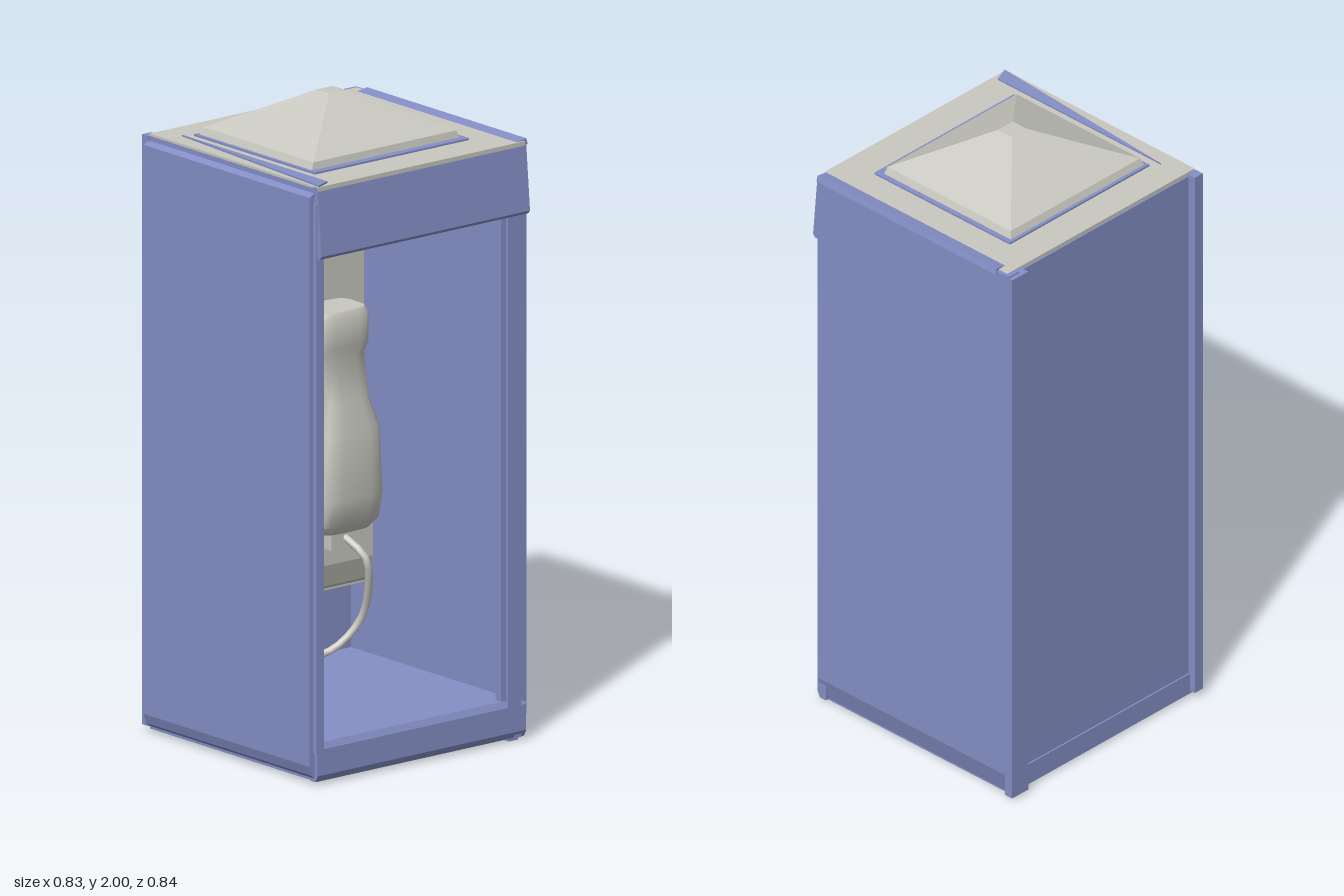
import * as THREE from 'three';
import { toCreasedNormals } from 'three/addons/utils/BufferGeometryUtils.js';

const blue = new THREE.MeshStandardMaterial({ color: 0x858fc6 });
blue.name = 'boothBlue';
const grey = new THREE.MeshStandardMaterial({ color: 0xc8c8c0 });
grey.name = 'paleGrey';

export function createModel() {
  const model = new THREE.Group();
  model.name = 'phoneBooth';

  const add = (name, geo, mat) => {
    const m = new THREE.Mesh(geo, mat);
    m.name = name;
    model.add(m);
    return m;
  };
  // Box given by its limits on each axis
  const box = (name, mat, x0, x1, y0, y1, z0, z1) => {
    const g = new THREE.BoxGeometry(x1 - x0, y1 - y0, z1 - z0);
    g.translate((x0 + x1) / 2, (y0 + y1) / 2, (z0 + z1) / 2);
    return add(name, g, mat);
  };
  // Profile in x,y extruded along z
  const prismZ = (name, mat, pts, z0, z1) => {
    const s = new THREE.Shape(pts.map(p => new THREE.Vector2(...p)));
    const g = new THREE.ExtrudeGeometry(s, { depth: z1 - z0, bevelEnabled: false });
    g.translate(0, 0, z0);
    return add(name, g, mat);
  };
  // Profile in z,y extruded along x
  const prismX = (name, mat, pts, x0, x1) => {
    const s = new THREE.Shape(pts.map(([z, y]) => new THREE.Vector2(-z, y)));
    const g = new THREE.ExtrudeGeometry(s, { depth: x1 - x0, bevelEnabled: false });
    g.rotateY(Math.PI / 2).translate(x0, 0, 0);
    return add(name, g, mat);
  };
  // Stacked cross-sections [y, x0, x1, z0, z1]; power 0 gives square corners
  const loft = (sections, n, power, crease) => {
    const pos = [], idx = [];
    const f = v => Math.sign(v) * Math.pow(Math.abs(v), power);
    for (const [y, x0, x1, z0, z1] of sections) {
      for (let j = 0; j < n; j++) {
        const t = (j + 0.5) / n * Math.PI * 2;
        pos.push((x0 + x1) / 2 + f(Math.cos(t)) * (x1 - x0) / 2, y,
          (z0 + z1) / 2 + f(Math.sin(t)) * (z1 - z0) / 2);
      }
    }
    for (let i = 0; i < sections.length - 1; i++) {
      for (let j = 0; j < n; j++) {
        const a = i * n + j, b = i * n + (j + 1) % n;
        idx.push(a, a + n, b, b, a + n, b + n);
      }
    }
    const top = (sections.length - 1) * n;
    for (let j = 1; j < n - 1; j++) {
      idx.push(0, j, j + 1, top, top + j + 1, top + j);
    }
    const g = new THREE.BufferGeometry();
    g.setAttribute('position', new THREE.Float32BufferAttribute(pos, 3));
    g.setIndex(idx);
    return toCreasedNormals(g, crease);
  };

  // Front and back walls
  box('frontWall', blue, -0.4, 0.39, 0.02, 1.845, 0.375, 0.4);
  prismX('frontPanel', blue, [[0.4, 0.02], [0.41, 0.03], [0.42, 0.06], [0.42, 1.82], [0.4, 1.83]], -0.39, 0.38);
  prismX('backWall', blue, [[-0.37, 0.01], [-0.395, 0.01], [-0.415, 0.08], [-0.415, 1.85], [-0.37, 1.85]], -0.4, 0.39);

  // Closed side: recessed wall between posts
  box('phoneWall', blue, -0.39, -0.37, 0.02, 1.84, -0.4, 0.39);
  box('sidePostBack', blue, -0.415, -0.385, 0.01, 1.845, -0.415, -0.345);
  box('sidePostFront', blue, -0.415, -0.385, 0.02, 1.845, 0.37, 0.405);

  // Open side: jamb, header and sill
  box('doorJamb', blue, 0.36, 0.385, 0.1, 1.8, -0.38, -0.32);
  box('doorJambStop', blue, 0.385, 0.395, 0.1, 1.7, -0.39, -0.34);
  box('doorJambFront', blue, 0.37, 0.395, 0.1, 1.8, 0.375, 0.405);
  prismZ('doorHeader', blue, [[0.375, 1.85], [0.395, 1.85], [0.413, 1.64], [0.405, 1.63], [0.385, 1.63]], -0.41, 0.4);
  prismZ('doorSill', blue, [[0.36, 0.13], [0.385, 0.13], [0.395, 0.11], [0.395, 0.03], [0.385, 0.01], [0.36, 0.01]], -0.41, 0.4);

  // Floor with a rim below it
  box('floor', blue, -0.39, 0.37, 0.07, 0.13, -0.38, 0.38);
  box('floorRimSide', blue, -0.395, -0.36, 0.01, 0.08, -0.39, 0.39);
  box('floorRimFront', blue, -0.39, 0.38, 0.01, 0.08, 0.355, 0.395);
  box('floorRimBack', blue, -0.39, 0.38, 0, 0.08, -0.39, -0.355);

  // Roof, curb, edge trims and skylight
  box('roof', grey, -0.386, 0.396, 1.82, 1.852, -0.405, 0.4);
  box('skylightCurb', blue, -0.28, 0.28, 1.85, 1.858, -0.285, 0.315);
  prismX('roofTrimBack', blue, [[-0.365, 1.85], [-0.415, 1.858], [-0.42, 1.84], [-0.37, 1.84]], -0.35, 0.39);
  const wedge = new THREE.ExtrudeGeometry(new THREE.Shape([
    new THREE.Vector2(-0.3, -0.345), new THREE.Vector2(0.395, -0.395), new THREE.Vector2(0.375, -0.345),
  ]), { depth: 0.006, bevelEnabled: false });
  wedge.rotateX(-Math.PI / 2).translate(0, 1.851, 0);
  add('roofTrimFront', wedge, blue);
  add('skylight', loft([
    [1.856, -0.27, 0.255, -0.27, 0.305],
    [1.88, -0.26, 0.25, -0.26, 0.295],
    [2.0, -0.035, 0.025, -0.02, 0.045],
  ], 4, 0, 0.3), grey);

  // Telephone housing
  prismX('phoneHousing', grey, [[0.28, 0.41], [0.28, 1.47], [-0.22, 1.47], [-0.22, 0.41]], -0.37, -0.13);
  prismZ('housingLowerBulge', grey, [[-0.14, 0.41], [-0.11, 0.43], [-0.09, 0.5], [-0.09, 0.66], [-0.14, 0.7]], -0.22, 0.28);
  box('coinBox', grey, -0.13, -0.05, 0.46, 0.7, 0.075, 0.205);
  for (const z of [0.225, 0.25]) box('housingRib', grey, -0.13, -0.06, 0.45, 0.7, z, z + 0.015);
  box('housingStrip', grey, -0.135, -0.115, 0.7, 1.31, 0.232, 0.24);
  box('handsetCradle', grey, -0.13, 0, 0.74, 1.3, -0.04, 0.09);

  // Keypad
  for (let r = 0; r < 4; r++) {
    for (let c = 0; c < 3; c++) {
      const y = 0.855 + r * 0.043, z = -0.165 + c * 0.038;
      box('key', grey, -0.131, -0.1, y, y + 0.033, z, z + 0.03);
    }
  }

  // Handset
  add('handset', loft([
    [0.65, -0.02, 0.08, -0.08, 0.1],
    [0.68, -0.04, 0.105, -0.105, 0.13],
    [0.76, -0.04, 0.12, -0.11, 0.135],
    [0.97, -0.03, 0.12, -0.095, 0.12],
    [1.06, -0.02, 0.1, -0.065, 0.1],
    [1.2, -0.02, 0.09, -0.055, 0.12],
    [1.23, -0.05, 0.1, -0.07, 0.138],
    [1.32, -0.05, 0.1, -0.07, 0.138],
    [1.34, -0.04, 0.09, -0.06, 0.13],
  ], 16, 0.5, 0.7), grey);

  // Cord and its connector
  box('cordConnector', grey, 0.0, 0.07, 0.6, 0.67, -0.01, 0.075);
  const path = new THREE.CatmullRomCurve3([
    [0.05, 0.64, 0.02], [0.14, 0.58, 0], [0.13, 0.5, -0.02], [0.08, 0.37, -0.028], [0.04, 0.28, 0.06],
    [0, 0.28, 0.19], [-0.03, 0.36, 0.32], [-0.06, 0.5, 0.36], [-0.08, 0.64, 0.335], [-0.1, 0.7, 0.27],
  ].map(p => new THREE.Vector3(...p)));
  add('cord', new THREE.TubeGeometry(path, 32, 0.012, 8), grey);

  return model;
}
